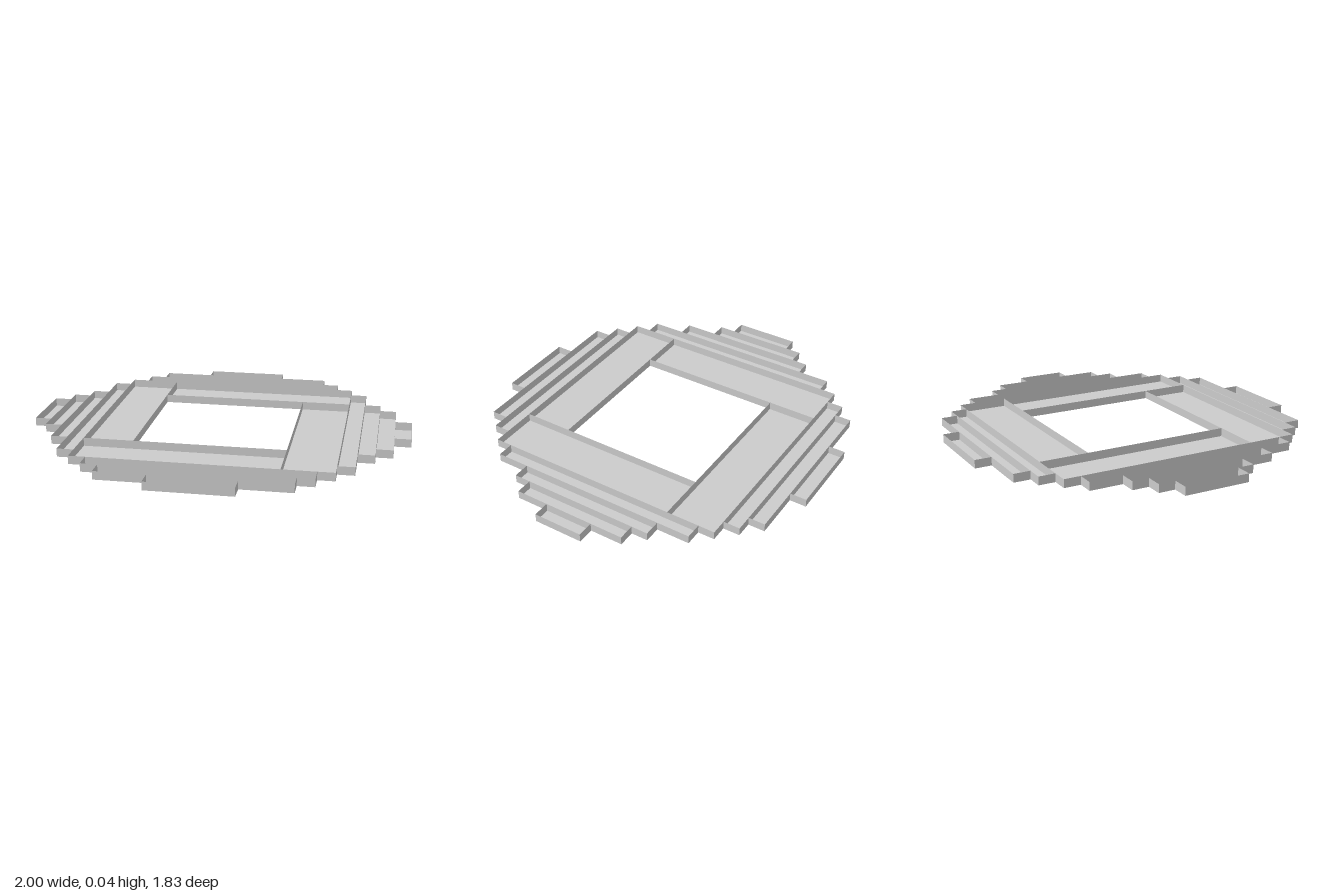
import * as THREE from 'three';

const CELL = 2 / 23;       // plan grid unit
const HEIGHT = CELL / 2;   // wall height

const material = new THREE.MeshStandardMaterial({ color: 0xcccccc, side: THREE.DoubleSide, flatShading: true });

// Open-topped tray covering x0..x1 by z0..z1, in grid units
function tray(name, x0, x1, z0, z1) {
  const geometry = new THREE.BoxGeometry((x1 - x0) * CELL, HEIGHT, (z1 - z0) * CELL);
  const index = Array.from(geometry.index.array);
  index.splice(12, 6); // drop the top face
  geometry.setIndex(index);
  geometry.clearGroups();
  const mesh = new THREE.Mesh(geometry, material);
  mesh.name = name;
  mesh.position.set((x0 + x1) / 2 * CELL, HEIGHT / 2, (z0 + z1) / 2 * CELL);
  return mesh;
}

export function createModel() {
  const group = new THREE.Group();
  group.name = 'steppedFrame';

  // Four wide trays in a pinwheel around the square opening
  group.add(
    tray('backWideTray', -4.5, 7.5, -7.5, -4.5),
    tray('leftWideTray', 4.5, 7.5, -4.5, 7.5),
    tray('frontWideTray', -7.5, 4.5, 4.5, 7.5),
    tray('rightWideTray', -7.5, -4.5, -7.5, 4.5),
  );

  // Narrow trays stepping outward, front and back: half lengths
  [6.5, 5.5, 2.5].forEach((half, i) => {
    const d = 7.5 + i;
    group.add(tray(`frontNarrowTray${i + 1}`, -half, half, d, d + 1));
    group.add(tray(`backNarrowTray${i + 1}`, -half, half, -d - 1, -d));
  });

  // Narrow trays on the two sides: z start and end
  [[-6.5, 6.5], [-4.5, 4.5], [-3.5, 3.5], [-1.5, 1.5]].forEach(([a, b], i) => {
    group.add(tray(`leftNarrowTray${i + 1}`, 7.5 + i, 8.5 + i, a, b));
  });
  [[-6.5, 6.5], [-4.5, 4.5], [-3.5, 2.5], [-2.5, 1.5]].forEach(([a, b], i) => {
    group.add(tray(`rightNarrowTray${i + 1}`, -8.5 - i, -7.5 - i, a, b));
  });

  return group;
}
